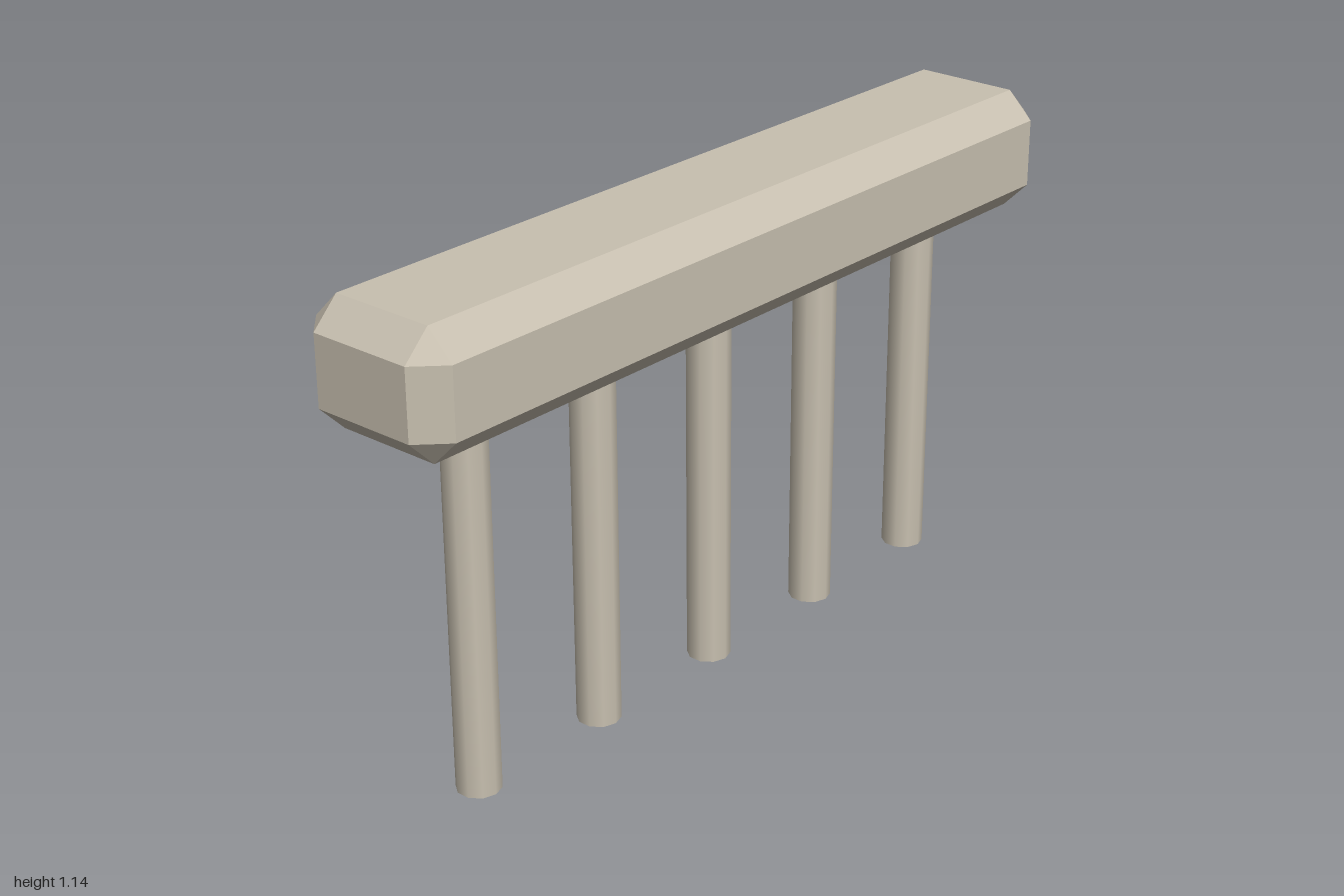
import * as THREE from 'three';
import { ConvexGeometry } from 'three/addons/geometries/ConvexGeometry.js';

// Box with flat 45 degree chamfers and triangular corners, centred on the origin
function chamferedBox(hx, hy, hz, c) {
  const points = [];
  for (const sx of [-1, 1]) for (const sy of [-1, 1]) for (const sz of [-1, 1]) {
    points.push(
      new THREE.Vector3(sx * hx, sy * (hy - c), sz * (hz - c)),
      new THREE.Vector3(sx * (hx - c), sy * hy, sz * (hz - c)),
      new THREE.Vector3(sx * (hx - c), sy * (hy - c), sz * hz)
    );
  }
  return new ConvexGeometry(points);
}

export function createModel() {
  const model = new THREE.Group();
  model.name = 'beamOnPosts';

  const stone = new THREE.MeshStandardMaterial({ color: 0xc8c0b0 });
  stone.name = 'warm grey stone';

  // Chamfered beam
  const bottom = 0.861, top = 1.143;
  const beam = new THREE.Mesh(chamferedBox(1, (top - bottom) / 2, 0.186, 0.062), stone);
  beam.name = 'beam';
  beam.position.y = (top + bottom) / 2;
  model.add(beam);

  // Row of five round posts, meeting the underside of the beam
  const postHeight = bottom + 0.02;
  const postGeometry = new THREE.CylinderGeometry(0.05, 0.05, postHeight, 10);
  for (let i = -2; i <= 2; i++) {
    const post = new THREE.Mesh(postGeometry, stone);
    post.name = `post${i + 3}`;
    post.position.set(i * 0.371, postHeight / 2, 0);
    model.add(post);
  }

  return model;
}
